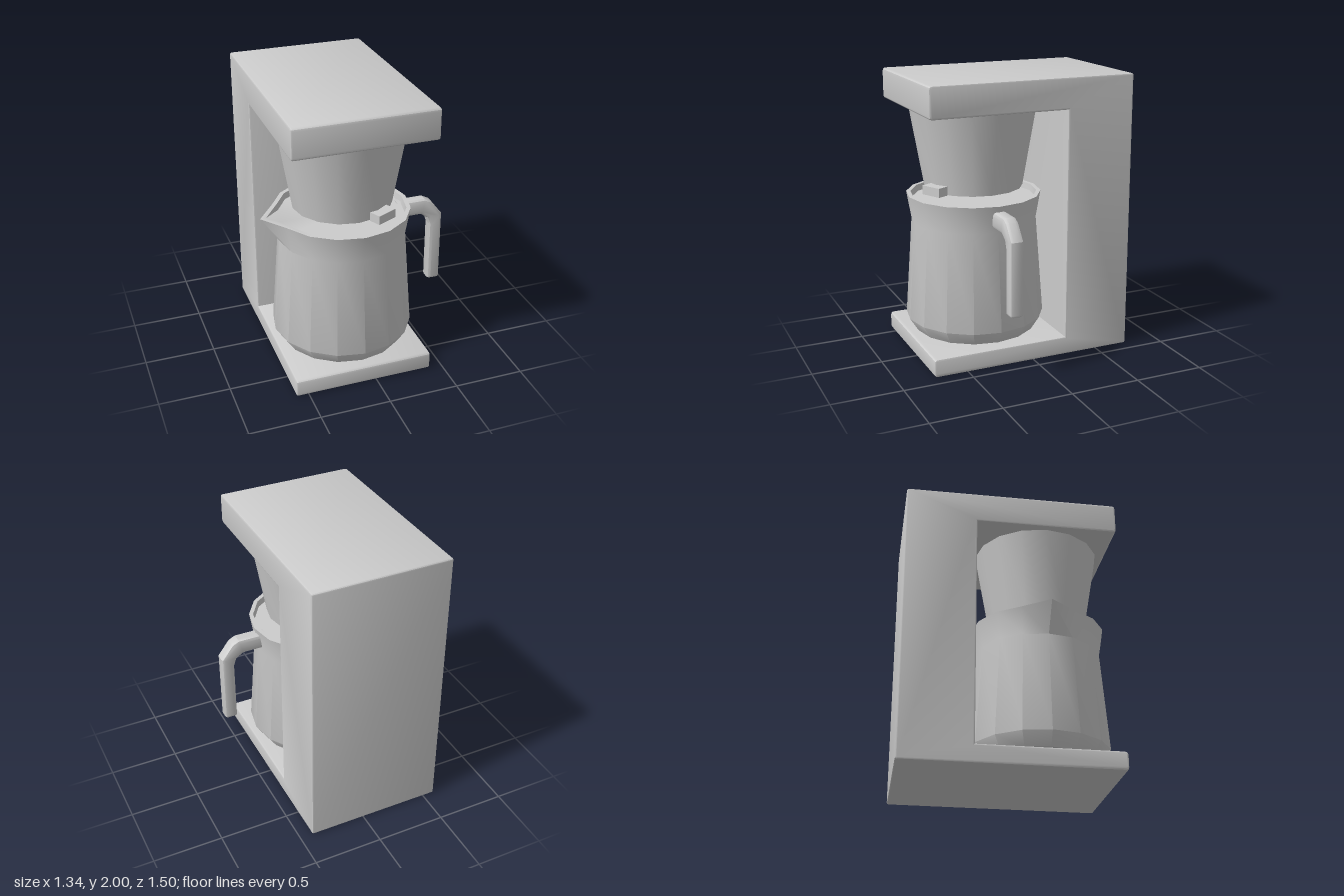
import * as THREE from 'three';
import { toCreasedNormals } from 'three/addons/utils/BufferGeometryUtils.js';

const CX = -0.09, CZ = 0.25; // shared axis of pot and filter basket
const SIDES = 16;
const V = (x, y) => new THREE.Vector2(x, y);

// Polygon whose corners are rounded by their own radius (third entry, 0 = sharp)
function roundedShape(corners) {
  const shape = new THREE.Shape();
  const n = corners.length;
  corners.forEach(([x, y, r = 0], i) => {
    const p = V(x, y);
    const toward = ([qx, qy]) => V(qx, qy).sub(p).setLength(r).add(p);
    const a = toward(corners[(i + n - 1) % n]);
    const b = toward(corners[(i + 1) % n]);
    if (i === 0) shape.moveTo(a.x, a.y); else shape.lineTo(a.x, a.y);
    if (r > 0) shape.quadraticCurveTo(x, y, b.x, b.y);
  });
  shape.closePath();
  return shape;
}

// Bevelled slab of a given total width, centred on z = 0
function slab(shape, width, bevel) {
  const g = new THREE.ExtrudeGeometry(shape, {
    depth: width - 2 * bevel, curveSegments: 3, bevelEnabled: true,
    bevelSize: bevel, bevelOffset: -bevel, bevelThickness: bevel, bevelSegments: 2,
  });
  g.translate(0, 0, bevel - width / 2);
  return toCreasedNormals(g, 0.45);
}

export function createModel() {
  const group = new THREE.Group();
  const grey = new THREE.MeshStandardMaterial({ color: 0xcccccc });
  const greyDouble = new THREE.MeshStandardMaterial({ color: 0xcccccc, side: THREE.DoubleSide });
  const add = (name, geometry, material = grey) => {
    const mesh = new THREE.Mesh(geometry, material);
    mesh.name = name;
    group.add(mesh);
    return mesh;
  };

  // C-shaped housing: base plate, rear tower and overhanging head (drawn as -z, y)
  const body = slab(roundedShape([
    [-0.745, 0, 0.025], [0.75, 0, 0.015], [0.75, 2, 0.015], [-0.745, 2, 0.025],
    [-0.745, 1.78, 0.025], [0.25, 1.78], [0.25, 0.13], [-0.745, 0.13, 0.025],
  ]), 0.995, 0.012);
  body.rotateY(Math.PI / 2);
  add('housing', body).position.x = CX;

  // Tapered filter basket with a shallow conical underside
  const basket = new THREE.LatheGeometry([
    V(0, 1.165), V(0.1, 1.165), V(0.35, 1.2), V(0.452, 1.79),
  ], SIDES);
  add('filterBasket', toCreasedNormals(basket, 0.6)).position.set(CX, 0, CZ);

  // Drip-stop tab on the basket, turned to follow its wall
  const tab = add('basketTab', new THREE.BoxGeometry(0.156, 0.063, 0.085));
  tab.position.set(0.078, 1.232, 0.6);
  tab.rotation.y = 0.45;

  // Pot: outer wall, rim, inner lip and recessed lid in one profile
  const profile = [
    V(0, 0.155), V(0.44, 0.155), V(0.5, 0.25), V(0.447, 0.96),
    V(0.48, 1.155), V(0.45, 1.155), V(0.442, 1.11), V(0, 1.11),
  ];
  const pot = new THREE.LatheGeometry(profile, SIDES);
  // Pull the rim corner on the -x side outwards into a pointed spout
  const spout = SIDES * 0.75 * profile.length;
  pot.attributes.position.setX(spout + 4, -0.58);
  pot.attributes.position.setX(spout + 5, -0.54);
  add('pot', toCreasedNormals(pot, 0.65), greyDouble).position.set(CX, 0, CZ);

  // Hooked handle with chamfered edges
  const handle = slab(roundedShape([
    [0.32, 1.0], [0.5, 1.0], [0.55, 0.965], [0.57, 0.91], [0.57, 0.45, 0.02],
    [0.665, 0.45, 0.02], [0.665, 0.98], [0.58, 1.09], [0.53, 1.115], [0.32, 1.115],
  ]), 0.1, 0.025);
  add('handle', handle).position.z = 0.245;

  return group;
}
